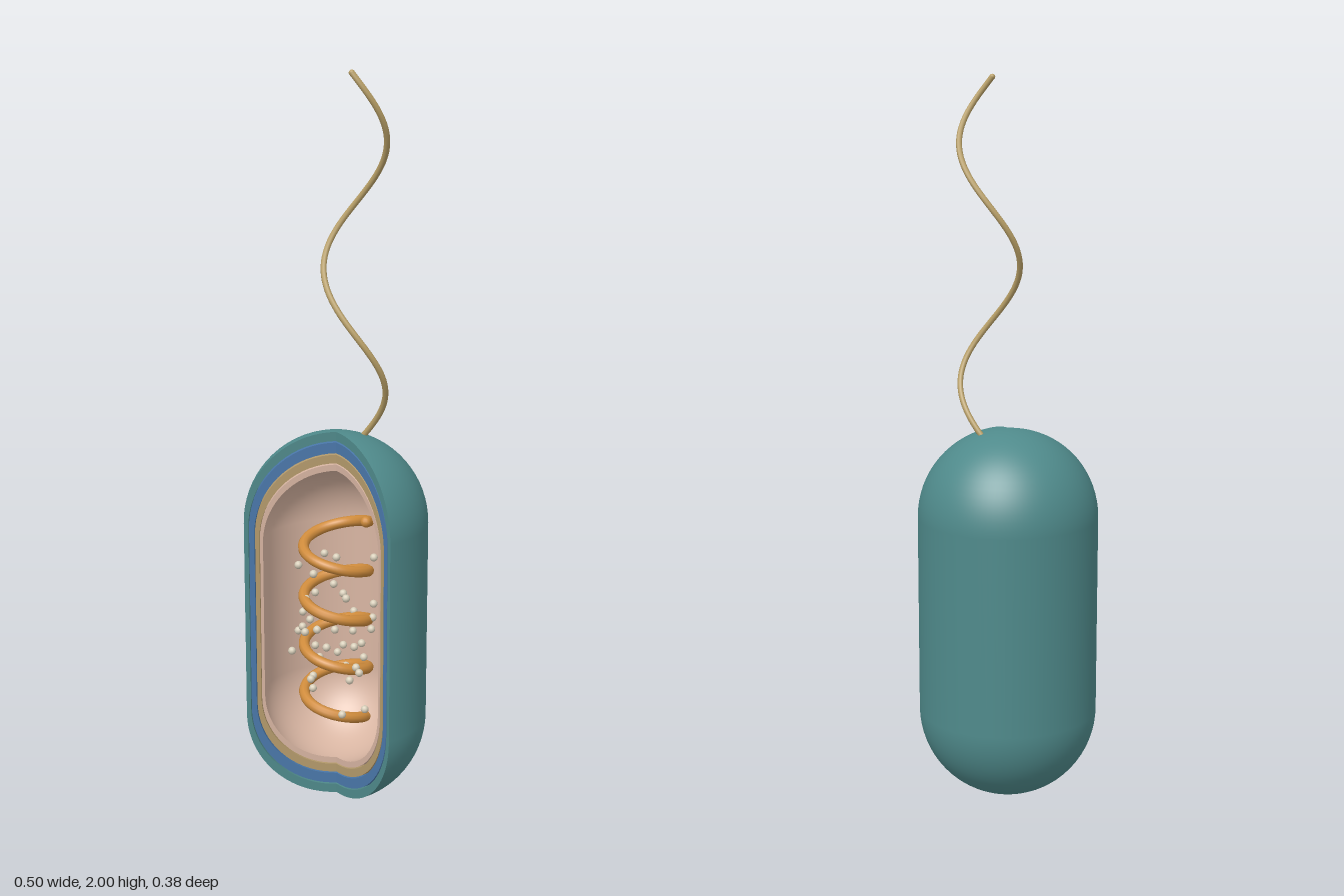
import * as THREE from 'three';

const AXIS_Z = 0.06, MID_Y = 0.5275, RADIUS = 0.25, HALF_CYL = 0.2775;
const OPEN = Math.PI / 3; // half of the cut-away angle

function paint(name, color, side = THREE.FrontSide) {
  const m = new THREE.MeshStandardMaterial({ color, side });
  m.name = name;
  return m;
}

// Capsule outline from bottom pole to top pole, scaled about its centre
function outline(s) {
  const pts = [], n = 18;
  for (const end of [-1, 1]) {
    for (let i = 0; i <= n; i++) {
      const a = (end < 0 ? i / n - 1 : i / n) * Math.PI / 2;
      const r = i === (end < 0 ? 0 : n) ? 0 : RADIUS * Math.cos(a);
      pts.push(new THREE.Vector2(r * s, (end * HALF_CYL + RADIUS * Math.sin(a)) * s));
    }
  }
  return pts;
}

// One cut-away wall: outer skin, inner skin and the two cut faces
function shell(name, outer, inner, material) {
  const g = new THREE.Group();
  g.name = name;
  const add = (part, geo) => {
    const m = new THREE.Mesh(geo, material);
    m.name = name + part;
    g.add(m);
  };
  const out = outline(outer), inn = outline(inner).reverse();
  const sweep = Math.PI * 2 - OPEN * 2;
  add('Outside', new THREE.LatheGeometry(out, 64, OPEN, sweep));
  add('Inside', new THREE.LatheGeometry(inn, 64, OPEN, sweep));
  for (const phi of [OPEN, Math.PI * 2 - OPEN]) {
    const face = new THREE.ShapeGeometry(new THREE.Shape([...out, ...inn]));
    face.rotateY(phi - Math.PI / 2);
    add('CutFace', face);
  }
  g.position.set(0, MID_Y, AXIS_Z);
  return g;
}

// Round tube along a path function, with rounded ends
function coil(name, at, segments, radius, material) {
  const g = new THREE.Group();
  g.name = name;
  const pts = [];
  for (let i = 0; i <= segments; i++) pts.push(at(i / segments));
  const curve = new THREE.CatmullRomCurve3(pts);
  const tube = new THREE.Mesh(new THREE.TubeGeometry(curve, segments * 2, radius, 10), material);
  tube.name = name + 'Tube';
  g.add(tube);
  for (const p of [pts[0], pts[segments]]) {
    const end = new THREE.Mesh(new THREE.SphereGeometry(radius, 12, 8), material);
    end.name = name + 'End';
    end.position.copy(p);
    g.add(end);
  }
  return g;
}

export function createModel() {
  const model = new THREE.Group();
  model.name = 'cutawayCell';
  const D = THREE.DoubleSide;
  const teal = paint('teal', 0x4f8a8b, D);
  const blue = paint('blue', 0x4a78ab, D);
  const tan = paint('tan', 0xb59b6c, D);
  const pink = paint('palePink', 0xd8b5a2, D);
  const orange = paint('orange', 0xd08c3c);
  const straw = paint('straw', 0xb9a067);
  const cream = paint('cream', 0xd6cdb8);

  // Nested walls
  model.add(
    shell('outerWall', 1, 0.952, teal),
    shell('middleWall', 0.944, 0.888, blue),
    shell('innerWall', 0.88, 0.835, tan),
    shell('lining', 0.828, 0.795, pink),
  );

  // Coiled strand inside
  model.add(coil('innerCoil', t => {
    const a = t * Math.PI * 8;
    return new THREE.Vector3(0.089 * Math.cos(a), 0.25 + 0.565 * t, AXIS_Z + 0.089 * Math.sin(a));
  }, 120, 0.015, orange));

  // Long wavy tail on top
  model.add(coil('tail', t => {
    const y = 1.03 + 0.963 * t, a = (y - 1.0375) / 0.65 * Math.PI * 2;
    return new THREE.Vector3(0.055 + 0.086 * Math.sin(a), y, AXIS_Z - 0.054 * Math.cos(a));
  }, 80, 0.008, straw));

  // Scattered granules
  const granules = new THREE.Group();
  granules.name = 'granules';
  const ball = new THREE.SphereGeometry(0.011, 12, 8);
  let seed = 7;
  const rand = () => (seed = (seed * 16807) % 2147483647) / 2147483647;
  const spots = [[-0.036, 0.52, 0.179], [0.08, 0.63, 0.165], [0.105, 0.41, 0.135], [-0.098, 0.44, 0.137]];
  for (let i = 0; i < 42; i++) {
    const a = i * 2.4, r = 0.13 * Math.sqrt(rand());
    spots.push([r * Math.cos(a), 0.26 + 0.48 * rand(), AXIS_Z + r * Math.sin(a) * 0.85]);
  }
  for (const s of spots) {
    const m = new THREE.Mesh(ball, cream);
    m.name = 'granule';
    m.position.set(...s);
    granules.add(m);
  }
  model.add(granules);
  return model;
}
